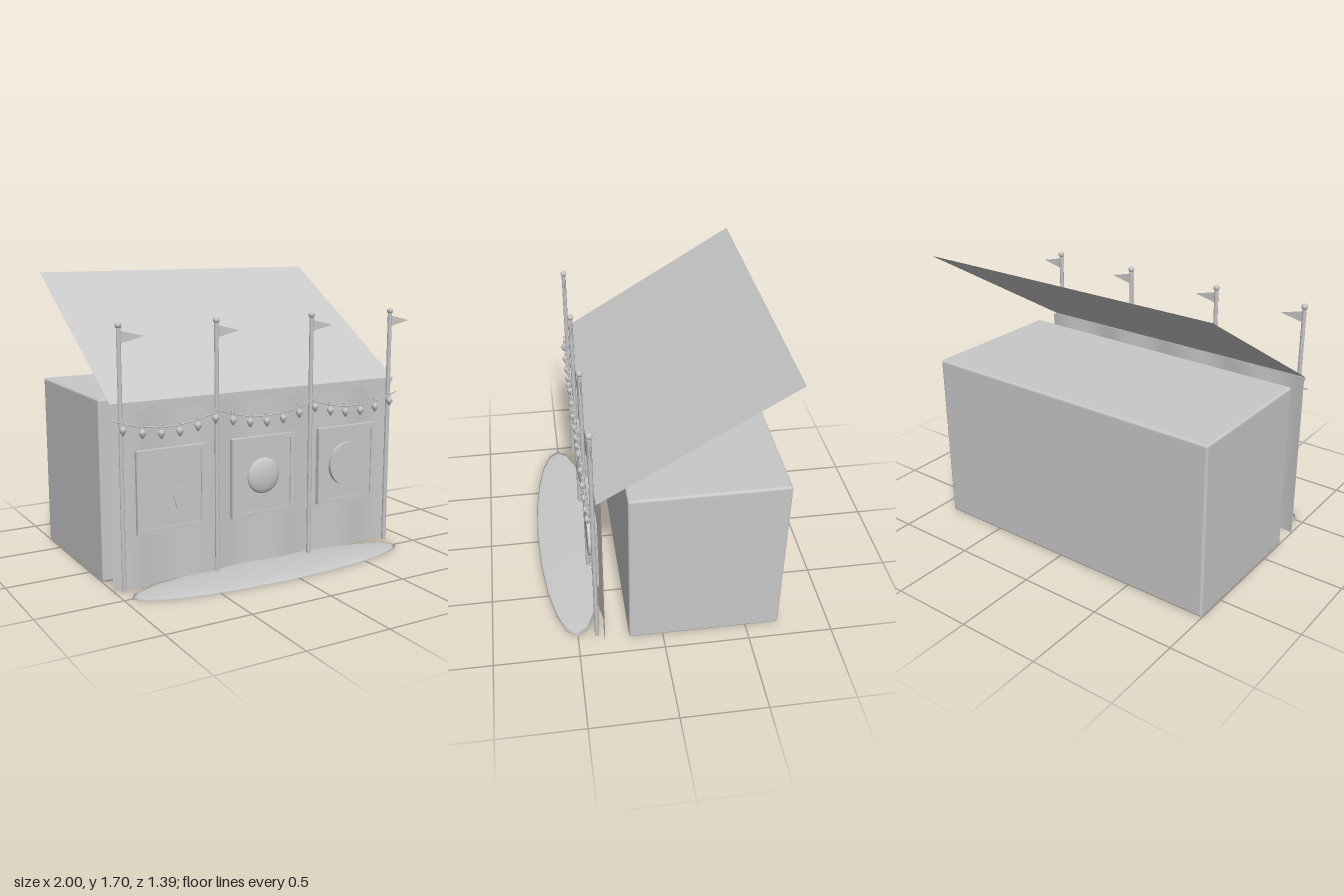
import * as THREE from 'three';
import { RoundedBoxGeometry } from 'three/addons/geometries/RoundedBoxGeometry.js';

const grey = new THREE.MeshStandardMaterial({ color: 0xc8c8c8, side: THREE.DoubleSide });
grey.name = 'plain grey';

const LEFT = -1, RIGHT = 0.9, WIDTH = RIGHT - LEFT, MID = (LEFT + RIGHT) / 2;

export function createModel() {
  const root = new THREE.Group();
  root.name = 'fairBooth';

  const add = (name, geometry, x = 0, y = 0, z = 0, parent = root) => {
    const mesh = new THREE.Mesh(geometry, grey);
    mesh.name = name;
    mesh.position.set(x, y, z);
    parent.add(mesh);
    return mesh;
  };
  const group = (name, x = 0, y = 0, z = 0) => {
    const g = new THREE.Group();
    g.name = name;
    g.position.set(x, y, z);
    root.add(g);
    return g;
  };

  // Main body
  add('body', new RoundedBoxGeometry(WIDTH, 1.05, 0.9, 2, 0.015), MID, 0.525, -0.25);

  // Sloping sheet rising from the front edge to the back
  const rise = 0.65, run = 1.07;
  const roof = add('roofSheet', new THREE.PlaneGeometry(WIDTH, Math.hypot(rise, run)), MID, 1.05 + rise / 2, 0.37 - run / 2);
  roof.rotation.x = -Math.atan2(run, rise);

  // Rippled front curtain
  const curtain = new THREE.PlaneGeometry(WIDTH, 1.05, 40, 1);
  const p = curtain.attributes.position;
  for (let i = 0; i < p.count; i++) {
    p.setZ(i, 0.015 * Math.sin(((p.getX(i) + WIDTH / 2) / WIDTH) * Math.PI * 8));
  }
  curtain.computeVertexNormals();
  add('curtain', curtain, MID, 0.525, 0.35);

  // Scalloped trim along the top of the curtain
  const scallops = 16, step = WIDTH / scallops;
  const trim = new THREE.Shape();
  trim.moveTo(LEFT, 1.05);
  for (let i = 0; i < scallops; i++) {
    for (let k = 0; k <= 8; k++) {
      const a = (k / 8) * Math.PI;
      trim.lineTo(LEFT + step * (i + 0.5 - Math.cos(a) / 2), 1.045 - 0.047 * Math.sin(a));
    }
  }
  trim.lineTo(RIGHT, 1.05);
  add('scallopTrim', new THREE.ShapeGeometry(trim), 0, 0, 0.37);

  // Flag poles
  const flag = new THREE.Shape([
    new THREE.Vector2(0.012, 1.437),
    new THREE.Vector2(0.012, 1.372),
    new THREE.Vector2(0.148, 1.403),
  ]);
  for (const x of [-0.95, -0.367, 0.268, 0.85]) {
    const pole = group('flagPole', x, 0, 0.387);
    add('pole', new THREE.CylinderGeometry(0.013, 0.013, 1.46, 8), 0, 0.73, 0, pole);
    add('knob', new THREE.SphereGeometry(0.019, 10, 8), 0, 1.467, 0, pole);
    add('flag', new THREE.ShapeGeometry(flag), 0, 0, 0, pole);
  }

  // Framed panels
  const rect = (Type, w, h) => new Type([[-w, -h], [w, -h], [w, h], [-w, h]].map(([a, b]) => new THREE.Vector2(a, b)));
  const frameShape = rect(THREE.Shape, 0.212, 0.237);
  frameShape.holes.push(rect(THREE.Path, 0.185, 0.21));
  const frame = new THREE.ExtrudeGeometry(frameShape, { depth: 0.03, bevelEnabled: false });
  const panels = [-0.65, -0.053, 0.547].map((x) => {
    const panel = group('panel', x, 0.542, 0.357);
    add('frame', frame, 0, 0, 0, panel);
    add('board', new THREE.BoxGeometry(0.38, 0.43, 0.022), 0, 0, 0.011, panel);
    return panel;
  });

  // Panel ornaments: thin spokes, a shallow dome and a disc
  for (const a of [0.1, 2.9, 5.0]) {
    const spoke = add('spoke', new THREE.BoxGeometry(0.09, 0.008, 0.006), 0.075 * Math.cos(a), 0.075 * Math.sin(a), 0.025, panels[0]);
    spoke.rotation.z = a;
  }
  add('dome', new THREE.SphereGeometry(0.108, 20, 12).scale(1, 1, 0.3), 0, 0, 0.022, panels[1]);
  add('disc', new THREE.CylinderGeometry(0.135, 0.135, 0.025, 32).rotateX(Math.PI / 2), 0, 0, 0.035, panels[2]);

  // String of lights hanging in three swags
  const swag = WIDTH / 3;
  const cableY = (x) => {
    const t = (((x - LEFT) / swag) % 1 + 1) % 1;
    return 0.965 - 0.24 * t * (1 - t);
  };
  const lights = group('stringLights', 0, 0, 0.407);
  for (let i = 0; i < 3; i++) {
    const pts = [];
    for (let k = 0; k <= 8; k++) {
      const t = k / 8;
      pts.push(new THREE.Vector3(LEFT + swag * (i + t), 0.965 - 0.24 * t * (1 - t), 0));
    }
    add('cable', new THREE.TubeGeometry(new THREE.CatmullRomCurve3(pts), 20, 0.004, 6), 0, 0, 0, lights);
  }
  const bulb = new THREE.LatheGeometry(
    [[0, -0.034], [0.01, -0.022], [0.02, -0.004], [0.018, 0.01], [0.009, 0.019], [0, 0.021]].map(([r, y]) => new THREE.Vector2(r, y)), 8);
  for (let i = 0; i < 17; i++) {
    const x = -0.947 + i * 0.112, y = cableY(x);
    add('bulb', bulb, x, y - 0.034, 0.004, lights);
    add('bulbCap', new THREE.CylinderGeometry(0.009, 0.009, 0.024, 8), x, y + 0.004, 0, lights);
  }

  // Low oval mat in front
  const matGroup = group('mat', -0.053, 0, 0.5);
  add('matTop', new THREE.SphereGeometry(1, 20, 6, 0, Math.PI * 2, 0, Math.PI / 2).scale(0.905, 0.02, 0.195), 0, 0, 0, matGroup);
  add('matUnderside', new THREE.CircleGeometry(1, 20).rotateX(Math.PI / 2).scale(0.905, 1, 0.195), 0, 0, 0, matGroup);

  return root;
}
